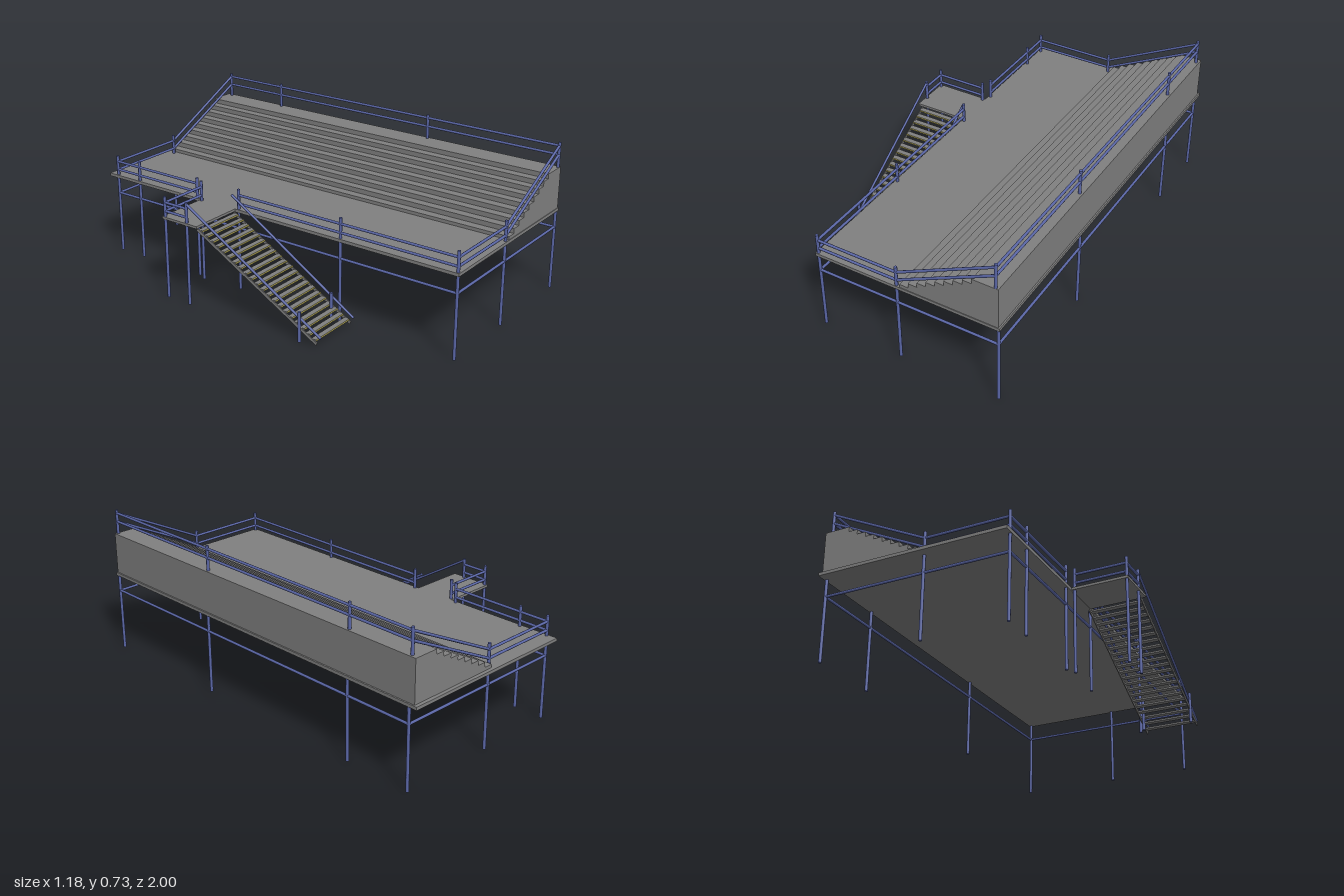
import * as THREE from 'three';

export function createModel() {
  const model = new THREE.Group();
  model.name = 'raisedDeck';
  const grey = new THREE.MeshStandardMaterial({ color: 0x808080 });
  grey.name = 'deck grey';
  const blue = new THREE.MeshStandardMaterial({ color: 0x5a66a6 });
  blue.name = 'rail blue';
  const yellow = new THREE.MeshStandardMaterial({ color: 0xb0a555 });
  yellow.name = 'nosing yellow';

  const add = (name, geo, mat) => {
    const m = new THREE.Mesh(geo, mat);
    m.name = name;
    model.add(m);
    return m;
  };
  // box from its min and max corners
  const slab = (name, a, b, mat) => {
    const m = add(name, new THREE.BoxGeometry(b[0] - a[0], b[1] - a[1], b[2] - a[2]), mat);
    m.position.set((a[0] + b[0]) / 2, (a[1] + b[1]) / 2, (a[2] + b[2]) / 2);
    return m;
  };
  // round bar between two points
  const bar = (name, a, b, r = 0.0065) => {
    const p = new THREE.Vector3(...a), q = new THREE.Vector3(...b);
    const d = q.clone().sub(p);
    const m = add(name, new THREE.CylinderGeometry(r, r, d.length(), 8), blue);
    m.position.copy(p).add(q).multiplyScalar(0.5);
    m.quaternion.setFromUnitVectors(new THREE.Vector3(0, 1, 0), d.normalize());
    return m;
  };
  const post = (x, z, y0, y1) => bar('post', [x, y0, z], [x, y1, z], 0.0075);

  const FRONT = 0.99, BACK = -0.952, SIDE = -0.314, MID = 0.088, HIGH = 0.565, LEG = 0.577;
  const railHeights = [0.473, 0.431];
  const highHeights = [0.711, 0.668];

  // main deck and landing
  slab('deck', [-0.325, 0.39, -1], [0.587, 0.405, 1], grey);
  slab('landing', [-0.592, 0.393, -0.397], [-0.325, 0.405, -0.19], grey);

  // stepped seating block
  const profile = new THREE.Shape();
  profile.moveTo(0.58, 0.405);
  profile.lineTo(0.58, 0.607);
  for (let i = 8; i >= 0; i--) {
    const x = 0.107 + i * 0.0438, y = 0.421 + i * 0.02325;
    profile.lineTo(x, y);
    profile.lineTo(x, i ? y - 0.02325 : 0.405);
  }
  profile.closePath();
  const steps = new THREE.ExtrudeGeometry(profile, { depth: 1.98, bevelEnabled: false });
  add('steppedSeating', steps, grey).position.z = -0.983;

  // posts around the deck
  const sideZ = [FRONT, 0.4, -0.175, -0.43, -0.805, BACK];
  sideZ.forEach((z) => post(SIDE, z, 0, 0.502));
  [FRONT, BACK].forEach((z) => post(MID, z, 0, 0.502));
  [FRONT, 0.293, -0.61, BACK].forEach((z) => {
    post(LEG, z, 0, 0.39);
    post(HIGH, z, 0.605, 0.727);
  });

  // guard rails
  railHeights.forEach((y, i) => {
    const top = highHeights[i];
    for (const z of [FRONT, BACK]) {
      bar('endRail', [SIDE, y, z], [MID, y, z]);
      bar('slopingRail', [MID, y, z], [HIGH, top, z]);
    }
    bar('highRail', [HIGH, top, FRONT], [HIGH, top, BACK]);
    bar('sideRail', [SIDE, y, FRONT], [SIDE, y, -0.175]);
    bar('sideRail', [SIDE, y, -0.43], [SIDE, y, BACK]);
    bar('landingRail', [-0.583, y, -0.385], [-0.335, y, -0.385]);
    bar('landingRail', [-0.583, y, -0.385], [-0.583, y, -0.255]);
  });

  // bracing rail below the deck
  const low = 0.309;
  for (const z of [FRONT, BACK]) bar('lowerRail', [SIDE, low, z], [LEG, low, z]);
  for (const x of [SIDE, LEG]) bar('lowerRail', [x, low, FRONT], [x, low, BACK]);

  // landing posts
  [[-0.583, -0.385], [-0.335, -0.385], [-0.583, -0.255]].forEach(([x, z]) => post(x, z, 0, 0.502));

  // open stair treads with coloured front edges
  const count = 21;
  for (let i = 0; i < count; i++) {
    const t = i / (count - 1);
    const y = 0.032 + t * 0.347, z = 0.447 - t * 0.63;
    slab('tread', [-0.573, y - 0.004, z - 0.013], [-0.324, y + 0.004, z + 0.013],
      [grey, grey, grey, grey, yellow, grey]);
  }

  // stringers, handrails and their foot posts
  for (const x of [-0.574, -0.323]) {
    const s = add('stringer', new THREE.BoxGeometry(0.005, 0.014, 0.76), grey);
    s.position.set(x, 0.2, 0.132);
    s.rotation.x = Math.atan2(0.347, 0.63);
  }
  bar('handrail', [-0.583, 0.495, -0.255], [-0.568, 0.046, 0.482], 0.006);
  bar('handrail', [-0.334, 0.475, -0.2], [-0.324, 0.046, 0.482], 0.006);
  post(-0.576, 0.372, 0, 0.145);
  post(-0.34, 0.372, 0, 0.145);

  return model;
}
